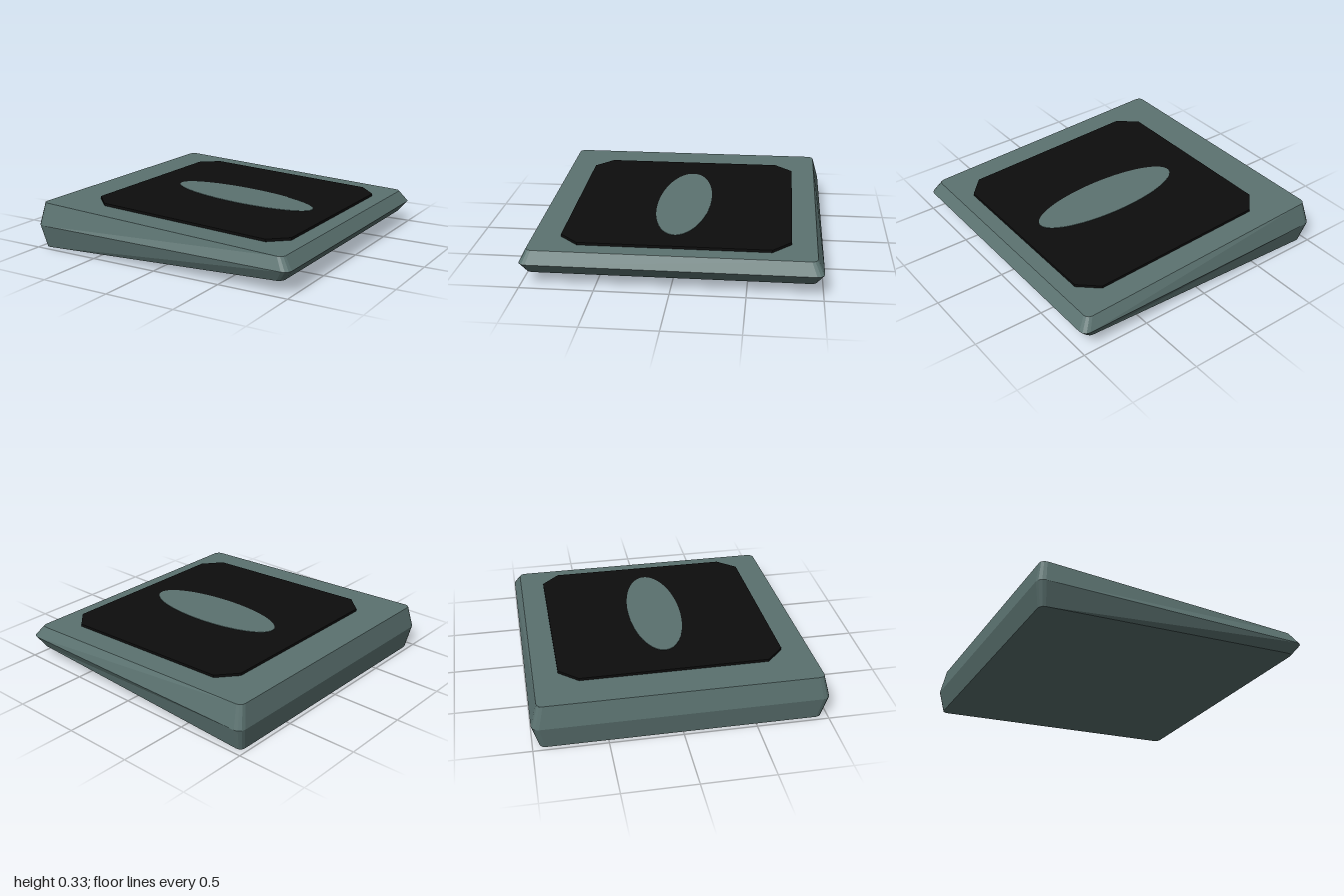
import * as THREE from 'three';

const teal = new THREE.MeshStandardMaterial({ color: 0x5b7270, flatShading: true });
teal.name = 'grey teal';
const black = new THREE.MeshStandardMaterial({ color: 0x0d0d0d, flatShading: true });
black.name = 'black';

// Height of the sloping top face at x
const topY = x => 0.325 - 0.042 * (x + 0.97);
const bottomY = x => 0.047 * (x + 0.97);

// Rectangle outline with small rounded corners, as [x, z] points
function roundedRing(x0, x1, z0, z1, r, steps = 3) {
  const pts = [];
  const corners = [[x1 - r, z1 - r], [x0 + r, z1 - r], [x0 + r, z0 + r], [x1 - r, z0 + r]];
  corners.forEach(([cx, cz], c) => {
    for (let i = 0; i <= steps; i++) {
      const a = (c + i / steps) * Math.PI / 2;
      pts.push([cx + r * Math.cos(a), cz + r * Math.sin(a)]);
    }
  });
  return pts;
}

// Wedge body: bottom, waist and top rings joined, with both ends capped
function bodyGeometry() {
  const levels = [
    [roundedRing(-0.97, 0.94, -0.955, 0.96, 0.04), bottomY],
    [roundedRing(-1, 1, -1, 1, 0.05), () => 0.165],
    [roundedRing(-0.97, 0.94, -0.955, 0.96, 0.04), topY],
  ];
  const pos = [], index = [], n = levels[0][0].length;
  for (const [ring, y] of levels) for (const [x, z] of ring) pos.push(x, y(x), z);
  for (let l = 0; l < 2; l++) {
    for (let i = 0; i < n; i++) {
      const a = l * n + i, b = l * n + (i + 1) % n;
      index.push(a, a + n, b, b, a + n, b + n);
    }
  }
  for (let i = 1; i < n - 1; i++) {
    index.push(0, i, i + 1);
    index.push(2 * n, 2 * n + i + 1, 2 * n + i);
  }
  const g = new THREE.BufferGeometry();
  g.setAttribute('position', new THREE.Float32BufferAttribute(pos, 3));
  g.setIndex(index);
  const flat = g.toNonIndexed();
  flat.computeVertexNormals();
  return flat;
}

// Flat plate that follows the sloping top face; shape is drawn in x and -z
function slopedPlate(shape, lift, depth) {
  const g = new THREE.ExtrudeGeometry(shape, { depth, bevelEnabled: false, curveSegments: 48 });
  g.rotateX(-Math.PI / 2);
  const p = g.attributes.position;
  for (let i = 0; i < p.count; i++) p.setY(i, p.getY(i) + topY(p.getX(i)) + lift);
  g.computeVertexNormals();
  return g;
}

export function createModel() {
  const group = new THREE.Group();
  const add = (name, geometry, material) => {
    const mesh = new THREE.Mesh(geometry, material);
    mesh.name = name;
    group.add(mesh);
  };

  add('body', bodyGeometry(), teal);

  // Octagonal pad with cut corners
  const pad = new THREE.Shape([
    [-0.59, 0.785], [-0.71, 0.655], [-0.71, -0.64], [-0.58, -0.765],
    [0.71, -0.765], [0.83, -0.635], [0.83, 0.66], [0.7, 0.785],
  ].map(([x, y]) => new THREE.Vector2(x, y)));
  add('pad', slopedPlate(pad, -0.004, 0.022), black);

  // Oval inlay on the pad
  const oval = new THREE.Shape();
  oval.absellipse(0.1, 0.013, 0.56, 0.19, 0, Math.PI * 2, false, -0.03);
  add('ovalInlay', slopedPlate(oval, 0.016, 0.005), teal);

  return group;
}
